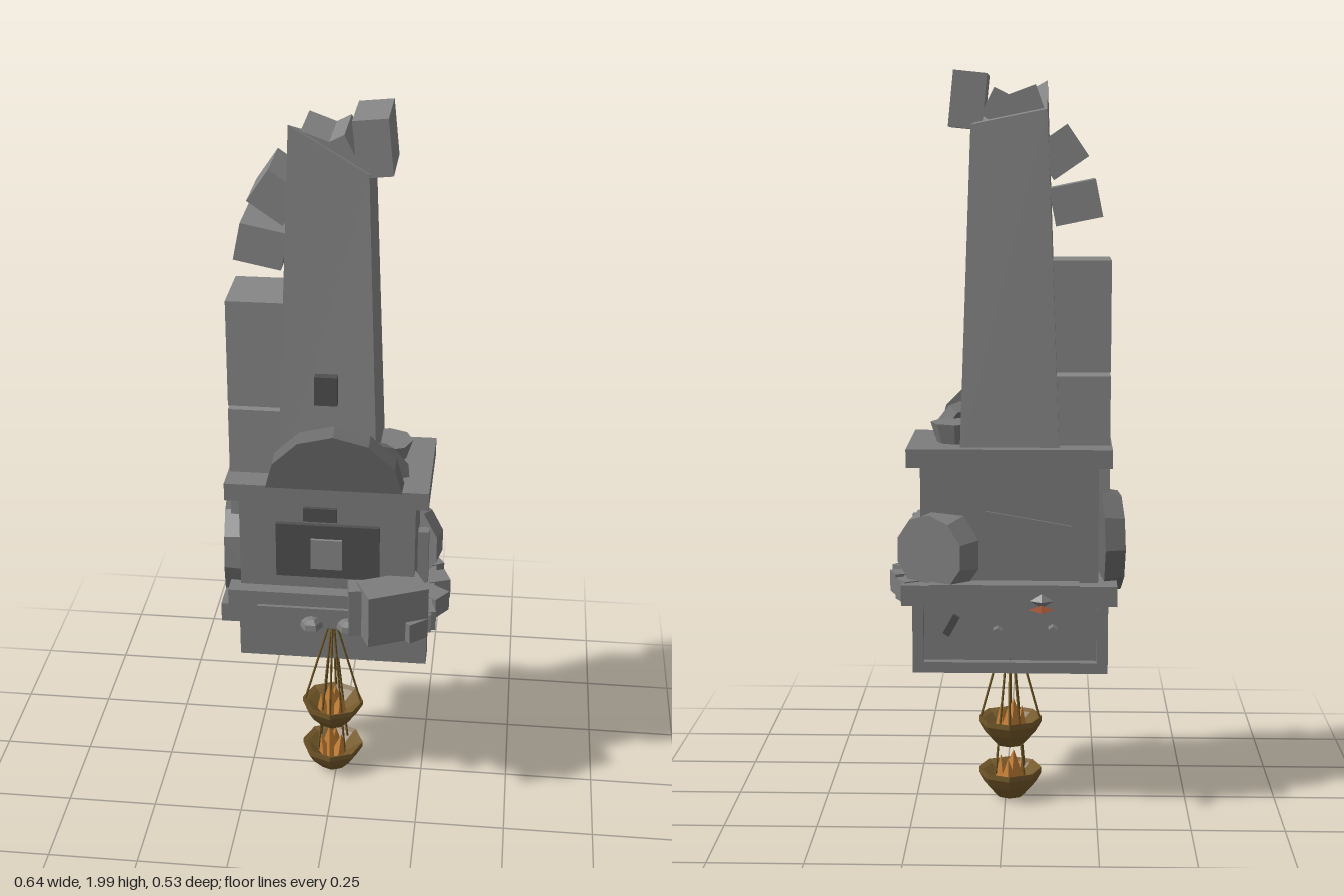
import * as THREE from 'three';

const mat = (color, side = THREE.FrontSide) => new THREE.MeshStandardMaterial({ color, flatShading: true, side });
const stone = mat(0x7c7c7c);
const paleStone = mat(0x868686);
const wornStone = mat(0x6c6c6c);
const darkStone = mat(0x4e4e4e);
const bronze = mat(0x74592a, THREE.DoubleSide);
const rope = mat(0x6e5626);
const flame = mat(0xc07c34);
const ringBronze = mat(0xa8783c);
const ember = mat(0x964e30);

export function createModel() {
  const root = new THREE.Group();
  root.name = 'ruinedTower';

  const add = (name, geo, pos, rot = [0, 0, 0], material = stone, parent = root) => {
    const m = new THREE.Mesh(geo, material);
    m.name = name;
    m.position.set(...pos);
    m.rotation.set(...rot);
    parent.add(m);
    return m;
  };
  const box = (name, size, pos, rot, material) => add(name, new THREE.BoxGeometry(...size), pos, rot, material);
  // Box given by its limits on each axis
  const span = (name, x0, x1, y0, y1, z0, z1, material) =>
    box(name, [x1 - x0, y1 - y0, z1 - z0], [(x0 + x1) / 2, (y0 + y1) / 2, (z0 + z1) / 2], [0, 0, 0], material);
  // Straight rod between two points
  const rod = (name, a, b, r, material, parent) => {
    const p = new THREE.Vector3(...a), q = new THREE.Vector3(...b);
    const m = add(name, new THREE.CylinderGeometry(r, r, p.distanceTo(q), 4), p.clone().lerp(q, 0.5).toArray(), [0, 0, 0], material, parent);
    m.quaternion.setFromUnitVectors(new THREE.Vector3(0, 1, 0), q.sub(p).normalize());
  };

  // Tapered tower shaft with a broken, slanting top
  const shaft = new THREE.BoxGeometry(1, 1, 1);
  const sp = shaft.attributes.position;
  for (let i = 0; i < sp.count; i++) {
    const right = sp.getX(i) > 0, front = sp.getZ(i) > 0;
    if (sp.getY(i) < 0) sp.setXYZ(i, right ? 0.12 : -0.145, 1.0, front ? 0.125 : -0.135);
    else sp.setXYZ(i, right ? 0.09 : -0.11, right ? 1.86 : front ? 1.98 : 1.9, front ? 0.098 : -0.102);
  }
  add('towerShaft', shaft, [0, 0, 0], [0, 0, 0], paleStone);
  span('towerWindow', -0.045, 0.015, 1.25, 1.33, 0.1, 0.138, darkStone);

  // Arc of stone blocks climbing one side and curling over the top
  span('lowerSideBlock', -0.28, -0.1, 0.89, 1.205, -0.093, 0.09, paleStone);
  span('tallSideBlock', -0.28, -0.09, 1.215, 1.51, -0.09, 0.088, paleStone);
  [[-0.185, 1.66, -0.2, 0.125, 0.1], [-0.145, 1.79, -0.6, 0.11, 0.1], [-0.055, 1.9, -0.35, 0.09, 0.1],
    [0.005, 1.9, -1.1, 0.08, 0.09], [0.097, 1.923, 0.1, 0.09, 0.145]].forEach(([x, y, r, w, h]) =>
    box('arcBlock', [w, h, 0.18], [x, y, -0.003], [0, 0, r], paleStone));

  // Cornice, main body and ledges
  span('cornice', -0.285, 0.26, 0.97, 1.02, -0.17, 0.162);
  span('body', -0.25, 0.225, 0.6, 0.98, -0.137, 0.137);
  span('ledge', -0.3, 0.275, 0.6, 0.655, -0.18, 0.175);
  span('frontLedge', -0.28, 0.1, 0.6, 0.7, 0.1, 0.175);
  span('backLedge', -0.2, 0.2, 0.6, 0.66, -0.19, 0.185);

  // Framed front panel and back plaque
  span('frontPanel', -0.15, 0.13, 0.74, 0.9, 0.13, 0.15, darkStone);
  span('panelTile', -0.055, 0.03, 0.77, 0.86, 0.14, 0.158, paleStone);
  span('panelLintel', -0.075, 0.015, 0.91, 0.95, 0.13, 0.148, darkStone);
  const plaque = new THREE.Shape([[-0.18, 0.7], [0.05, 0.73], [0.05, 0.85], [-0.18, 0.81]].map(p => new THREE.Vector2(...p)));
  add('backPlaque', new THREE.ExtrudeGeometry(plaque, { depth: 0.015, bevelEnabled: false }), [0, 0, -0.145]);

  // Lower panel: plain front, raised frame behind
  span('lowerPanel', -0.28, 0.255, 0.38, 0.6, -0.035, 0.0);
  span('frameBottom', -0.28, 0.255, 0.38, 0.41, -0.06, -0.03);
  span('frameTop', -0.28, 0.255, 0.575, 0.605, -0.06, -0.03);
  span('frameLeft', 0.225, 0.255, 0.4, 0.58, -0.06, -0.03);
  span('frameRight', -0.28, -0.25, 0.4, 0.58, -0.06, -0.03);
  span('panelPlate', -0.06, 0.06, 0.46, 0.575, -0.055, -0.03);
  box('panelBar', [0.02, 0.06, 0.02], [0.15, 0.51, -0.04], [0, 0, 0.5], darkStone);
  add('panelPin', new THREE.CylinderGeometry(0.014, 0.014, 0.05, 6), [0.02, 0.5, -0.06], [Math.PI / 2, 0, 0]);
  add('panelKnob', new THREE.CylinderGeometry(0.014, 0.014, 0.04, 6), [-0.13, 0.5, -0.05], [Math.PI / 2, 0, 0]);

  // Broken half wheel lying against the tower foot
  const half = (r, n) => {
    const pts = [];
    for (let i = 0; i <= n; i++) pts.push(new THREE.Vector2(r * Math.cos(Math.PI * i / n), r * Math.sin(Math.PI * i / n)));
    return new THREE.Shape(pts);
  };
  add('halfWheel', new THREE.ExtrudeGeometry(half(0.187, 6), { depth: 0.055, bevelEnabled: false }),
    [0.008, 1.005, 0.105], [0.14, 0, 0], wornStone);
  add('wheelFragment', new THREE.ExtrudeGeometry(half(0.1, 5), { depth: 0.06, bevelEnabled: false }),
    [0.09, 1.01, 0.06], [-0.25, 0.45, -0.2], wornStone);
  add('stonePot', new THREE.CylinderGeometry(0.068, 0.05, 0.055, 8), [0.135, 1.047, -0.04]);

  // Side wheels
  add('rightWheel', new THREE.CylinderGeometry(0.135, 0.145, 0.055, 10), [-0.282, 0.745, -0.005], [0, 0.1, Math.PI / 2], wornStone);
  add('cornerWheel', new THREE.CylinderGeometry(0.105, 0.125, 0.06, 10).rotateX(Math.PI / 2),
    [0.188, 0.735, -0.125], [0, Math.PI - 0.53, 0]);
  box('sidePost', [0.04, 0.19, 0.03], [0.235, 0.72, -0.01]);

  // Fallen stones around the ledge
  box('cornerBlock', [0.17, 0.15, 0.1], [0.17, 0.675, 0.185], [0, 0.42, 0]);
  box('smallBlock', [0.06, 0.14, 0.06], [0.08, 0.67, 0.182], [0, 0.15, 0]);
  [[0.255, -0.115, 0.5], [0.28, -0.03, 0.35], [0.276, 0.058, 0.95], [0.25, 0.14, 0.3], [0.225, 0.195, 0.7]].forEach(([x, z, r]) =>
    box('ledgeStone', [0.06, 0.058, 0.06], [x, 0.629, z], [0, r, 0]));
  [-0.05, 0.05].forEach(x =>
    add('ledgeKnob', new THREE.SphereGeometry(0.032, 6, 3, 0, Math.PI * 2, 0, Math.PI / 2), [x, 0.605, 0.185]));

  // Back lamp with pointed flame
  add('lampStone', new THREE.OctahedronGeometry(0.032).scale(1, 0.6, 0.6), [-0.1, 0.62, -0.2]);
  add('lampFlame', new THREE.ConeGeometry(0.04, 0.055, 3).scale(1, 1, 0.2), [-0.1, 0.602, -0.234], [-Math.PI / 2, 0, 0], ember);

  // Hanging fire bowls
  const scales = new THREE.Group();
  scales.name = 'hangingBowls';
  scales.position.x = -0.012;
  root.add(scales);
  add('hangingRing', new THREE.TorusGeometry(0.03, 0.005, 5, 6), [0, 0.562, 0], [0, 0, 0], ringBronze, scales);
  const profile = [[0.001, 0], [0.04, 0.004], [0.072, 0.04], [0.088, 0.068], [0.088, 0.083], [0.074, 0.076], [0.035, 0.045], [0.001, 0.042]]
    .map(p => new THREE.Vector2(...p));
  [[0.157, 0.082, 0], [0.008, 0.055, Math.PI / 4]].forEach(([y, r, turn]) => {
    add('bowl', new THREE.LatheGeometry(profile, 8), [0, y, 0], [0, 0, 0], bronze, scales);
    for (let i = 0; i < 4; i++) {
      const a = turn + i * Math.PI / 2;
      rod('rope', [0, 0.535, 0], [r * Math.cos(a), y + 0.075, r * Math.sin(a)], 0.0032, rope, scales);
    }
    [[-0.008, 0, 0.1, 0.038], [-0.028, 0.012, 0.075, 0.026], [0.022, 0.012, 0.08, 0.028], [0.004, -0.026, 0.08, 0.028]].forEach(([x, z, h, w]) =>
      add('flame', new THREE.ConeGeometry(w, h, 4), [x, y + 0.035 + h / 2, z], [0, 0, -x * 5], flame, scales));
  });

  return root;
}
